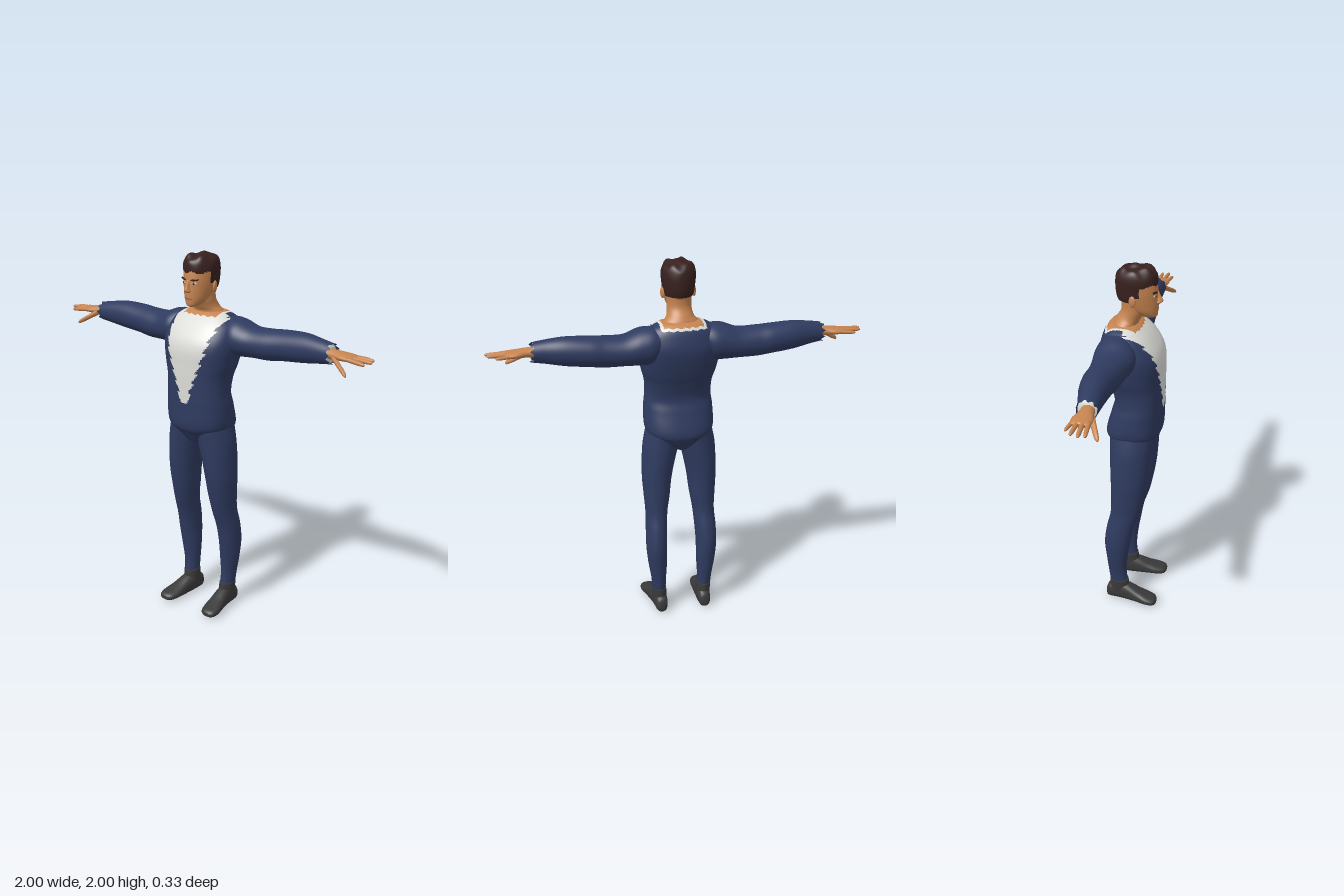
import * as THREE from 'three';

const mat = (name, color) => Object.assign(new THREE.MeshStandardMaterial({ color }), { name });

// Catmull-Rom sample of a table of rows at t in 0..1
function sampleRows(rows, t) {
  const f = t * (rows.length - 1), i = Math.min(Math.floor(f), rows.length - 2), u = f - i;
  const row = k => rows[Math.max(0, Math.min(rows.length - 1, k))];
  const [a, b, c, d] = [row(i - 1), row(i), row(i + 1), row(i + 2)];
  return b.map((v, k) => v + 0.5 * u * (c[k] - a[k] + u * (2 * a[k] - 5 * v + 4 * c[k] - d[k]
    + u * (3 * (v - c[k]) + d[k] - a[k]))));
}

// Skin elliptical sections [position, centre1, centre2, radius1, radius2] along an axis.
// paint(x, y, z) picks the material group of a face, or -1 to leave it out.
function loft(axis, rows, { n = 24, m = 24, power = 2, paint = () => 0, warp, caps = true } = {}) {
  const pos = [], groups = [], v = new THREE.Vector3();
  const bend = s => Math.sign(s) * Math.abs(s) ** (2 / power);
  const put = (t, c1, c2) => {
    if (axis === 'x') v.set(t, c1, c2);
    else if (axis === 'y') v.set(c1, t, c2);
    else v.set(c1, c2, t);
    if (warp) warp(v);
    pos.push(v.x, v.y, v.z);
  };
  for (let i = 0; i <= m; i++) {
    const [t, c1, c2, r1, r2] = sampleRows(rows, i / m);
    for (let j = 0; j < n; j++) {
      const a = j / n * Math.PI * 2;
      let c = bend(Math.cos(a)), s = bend(Math.sin(a));
      if (axis === 'y') [c, s] = [s, c];
      put(t, c1 + r1 * c, c2 + r2 * s);
    }
  }
  const face = (...ids) => {
    const mid = k => ids.reduce((sum, id) => sum + pos[id * 3 + k], 0) / 3;
    const g = paint(mid(0), mid(1), mid(2));
    if (g >= 0) (groups[g] ??= []).push(...ids);
  };
  for (let i = 0; i < m; i++) for (let j = 0; j < n; j++) {
    const k = (j + 1) % n, a = i * n + j, b = i * n + k;
    face(a, b, a + n);
    face(b, b + n, a + n);
  }
  if (caps) [[0, rows[0]], [m, rows.at(-1)]].forEach(([i, r]) => {
    put(r[0], r[1], r[2]);
    const c = pos.length / 3 - 1;
    for (let j = 0; j < n; j++) {
      const a = i * n + j, b = i * n + (j + 1) % n;
      i ? face(a, b, c) : face(b, a, c);
    }
  });
  const geo = new THREE.BufferGeometry();
  geo.setAttribute('position', new THREE.Float32BufferAttribute(pos, 3));
  const index = [];
  groups.forEach((ids, g) => { geo.addGroup(index.length, ids.length, g); index.push(...ids); });
  geo.setIndex(index);
  geo.computeVertexNormals();
  return geo;
}

function mirrored(geo) {
  const g = geo.clone().scale(-1, 1, 1), ix = g.index;
  for (let i = 0; i < ix.count; i += 3) {
    const a = ix.getX(i);
    ix.setX(i, ix.getX(i + 1));
    ix.setX(i + 1, a);
  }
  return g;
}

export function createModel() {
  const model = new THREE.Group();
  model.name = 'standingMan';
  const navy = mat('navyCloth', 0x2f3b60), white = mat('whiteShirt', 0xdcdcd8);
  const skin = mat('skin', 0xc68450), hair = mat('darkHair', 0x38211f);
  const sock = mat('charcoalSock', 0x3a3a3a), lip = mat('lip', 0x95593f), eyeWhite = mat('eyeWhite', 0xd9cfc4);
  hair.side = navy.side = THREE.DoubleSide;
  const add = (name, geo, material) => {
    const mesh = new THREE.Mesh(geo, Array.isArray(material) || !geo.groups.length ? material : [material]);
    mesh.name = name;
    model.add(mesh);
  };
  const pair = (name, geo, material) => {
    add(name + 'Left', geo, material);
    add(name + 'Right', mirrored(geo), material);
  };

  // Jacket body, with the ragged white bib and neckline painted on its faces
  const bib = [[1.22, 0.028], [1.3, 0.04], [1.36, 0.066], [1.42, 0.09], [1.5, 0.118], [1.6, 0.14], [1.7, 0.165]];
  const bibHalf = y => {
    const i = bib.findIndex(b => b[0] > y);
    if (i < 0) return 0.165;
    if (i === 0) return 0;
    const [p, q] = [bib[i - 1], bib[i]];
    return p[1] + (q[1] - p[1]) * (y - p[0]) / (q[0] - p[0]) + 0.02 * ((y * 18) % 1) - 0.01;
  };
  add('jacketBody', loft('y', [
    [0.985, 0, 0, 0.05, 0.09], [1.04, 0, 0, 0.13, 0.127], [1.09, 0, 0.008, 0.182, 0.147],
    [1.2, 0, 0.025, 0.185, 0.135], [1.27, 0, 0.034, 0.178, 0.127], [1.35, 0, 0.025, 0.18, 0.137],
    [1.42, 0, 0.012, 0.198, 0.15], [1.5, 0, 0, 0.213, 0.16], [1.56, 0, -0.013, 0.215, 0.155],
    [1.62, 0, -0.028, 0.2, 0.128], [1.66, 0, -0.04, 0.165, 0.1], [1.685, 0, -0.045, 0.115, 0.07],
    [1.69, 0, -0.045, 0.06, 0.04],
  ], {
    n: 144, m: 140, power: 2.4,
    paint: (x, y, z) => {
      const ax = Math.abs(x), tooth = 0.012 * Math.abs(((ax * 24) % 1) - 0.5);
      if (y > 1.668 + tooth && ax < 0.105) return 2;
      if (z > -0.03 && ax < bibHalf(y)) return 1;
      return y > 1.655 + tooth && ax < 0.12 ? 1 : 0;
    },
  }), [navy, white, skin]);

  // Sleeves with ragged cuffs and white linings
  pair('sleeve', loft('x', [
    [0.1, 1.6, -0.06, 0.06, 0.07], [0.16, 1.575, -0.058, 0.095, 0.098], [0.22, 1.568, -0.05, 0.096, 0.107],
    [0.3, 1.556, -0.055, 0.081, 0.095], [0.4, 1.557, -0.057, 0.081, 0.087], [0.48, 1.565, -0.062, 0.079, 0.082],
    [0.6, 1.573, -0.057, 0.075, 0.07], [0.7, 1.575, -0.045, 0.061, 0.056], [0.765, 1.574, -0.04, 0.051, 0.05],
  ], {
    n: 40, m: 48, caps: false,
    warp: v => { if (v.x > 0.76) v.x += 0.012 * Math.sin(Math.atan2(v.z + 0.04, v.y - 1.574) * 9); },
  }), navy);
  pair('cuffLining', loft('x', [[0.72, 1.574, -0.042, 0.05, 0.048], [0.757, 1.574, -0.04, 0.047, 0.046]], { m: 2 }), white);

  // Hands
  pair('palm', loft('x', [
    [0.73, 1.575, -0.037, 0.028, 0.032], [0.79, 1.575, -0.035, 0.024, 0.036],
    [0.84, 1.573, -0.038, 0.02, 0.05], [0.885, 1.572, -0.038, 0.015, 0.048], [0.897, 1.572, -0.038, 0.008, 0.04],
  ]), skin);
  [ // name, base x y z, tip x y z, radius
    ['indexFinger', 0.87, 1.572, -0.002, 0.972, 1.562, 0.008, 0.011],
    ['middleFinger', 0.87, 1.574, -0.027, 0.998, 1.572, -0.018, 0.0115],
    ['ringFinger', 0.87, 1.573, -0.052, 0.988, 1.573, -0.054, 0.011],
    ['littleFinger', 0.86, 1.571, -0.075, 0.947, 1.568, -0.089, 0.0095],
    ['thumb', 0.785, 1.568, -0.015, 0.895, 1.502, 0.042, 0.015],
  ].forEach(([name, x, y, z, X, Y, Z, r]) => {
    const rows = [[0, 1.1], [0.4, 1], [0.75, 0.9], [0.94, 0.65], [1, 0.1]]
      .map(([t, k]) => [x + (X - x) * t, y + (Y - y) * t, z + (Z - z) * t, r * k, r * k]);
    pair(name, loft('x', rows, { n: 12, m: 12 }), skin);
  });

  // Trousers
  pair('trouserLeg', loft('y', [
    [0.11, 0.13, -0.055, 0.037, 0.05], [0.2, 0.133, -0.065, 0.041, 0.051], [0.3, 0.138, -0.066, 0.052, 0.06],
    [0.4, 0.142, -0.062, 0.057, 0.072], [0.5, 0.139, -0.047, 0.059, 0.076], [0.6, 0.133, -0.02, 0.06, 0.081],
    [0.7, 0.128, -0.008, 0.071, 0.091], [0.8, 0.125, 0, 0.08, 0.1], [0.9, 0.115, 0.003, 0.089, 0.107],
    [1, 0.1, 0.006, 0.097, 0.112], [1.1, 0.085, 0.008, 0.09, 0.118],
  ], { n: 32, m: 50 }), navy);

  // Socks
  pair('sockShaft', loft('y', [
    [0.04, 0.127, -0.06, 0.036, 0.05], [0.09, 0.128, -0.055, 0.04, 0.055], [0.14, 0.13, -0.057, 0.0395, 0.053],
  ], { m: 10 }), sock);
  pair('sockFoot', loft('z', [
    [-0.132, 0.125, 0.035, 0.012, 0.018], [-0.115, 0.125, 0.046, 0.032, 0.044], [-0.05, 0.127, 0.058, 0.04, 0.058],
    [0, 0.132, 0.052, 0.043, 0.052], [0.06, 0.14, 0.039, 0.048, 0.037], [0.11, 0.148, 0.031, 0.052, 0.027],
    [0.15, 0.152, 0.026, 0.042, 0.02], [0.165, 0.154, 0.024, 0.02, 0.01],
  ], { n: 28, m: 32, power: 2.4, warp: v => { v.y = Math.max(0, v.y); } }), sock);

  // Neck and head
  add('neck', loft('y', [
    [1.64, 0, -0.035, 0.115, 0.08], [1.685, 0, -0.04, 0.092, 0.064], [1.715, 0, -0.025, 0.07, 0.064],
    [1.76, 0, -0.002, 0.064, 0.062], [1.83, 0, 0, 0.066, 0.066],
  ], { n: 32 }), skin);
  add('head', loft('y', [
    [1.722, 0, 0.088, 0.014, 0.02], [1.732, 0, 0.075, 0.034, 0.045], [1.76, 0, 0.05, 0.056, 0.073],
    [1.79, 0, 0.034, 0.067, 0.09], [1.83, 0, 0.022, 0.076, 0.101], [1.87, 0, 0.018, 0.08, 0.104],
    [1.92, 0, 0.013, 0.08, 0.1], [1.955, 0, 0.01, 0.062, 0.078], [1.975, 0, 0.01, 0.015, 0.02],
  ], { n: 40, m: 40 }), skin);

  // Wavy hair, cut away around the face
  add('hair', loft('y', [
    [1.8, 0, 0.01, 0.07, 0.085], [1.83, 0, 0.012, 0.08, 0.1], [1.87, 0, 0.011, 0.085, 0.105],
    [1.92, 0, 0.013, 0.089, 0.107], [1.955, 0, 0.014, 0.08, 0.098], [1.98, 0, 0.014, 0.052, 0.066],
    [1.987, 0, 0.014, 0.012, 0.015],
  ], {
    n: 64, m: 48,
    paint: (x, y, z) => (y > 1.9 + 0.006 * Math.sin(x * 90) || z < -0.005 && y > 1.812 || z < 0.04 && y > 1.845 ? 0 : -1),
    warp: v => {
      if (v.y < 1.9) return;
      const w = Math.sin(v.x * 75 + 1) * Math.sin(v.z * 45 + 1.5) * Math.min(1, (v.y - 1.9) / 0.05);
      v.y += 0.009 * w;
      v.z += 0.004 * w;
    },
  }), hair);

  // Face details
  add('nose', loft('y', [
    [1.797, 0, 0.122, 0.008, 0.006], [1.804, 0, 0.124, 0.018, 0.019], [1.815, 0, 0.124, 0.014, 0.025],
    [1.835, 0, 0.118, 0.009, 0.021], [1.862, 0, 0.113, 0.008, 0.012],
  ], { n: 16, m: 16 }), skin);
  const blob = (x, y, z, sx, sy, sz, turn = 0, tilt = 0) =>
    new THREE.SphereGeometry(1, 16, 10).scale(sx, sy, sz).rotateZ(tilt).rotateY(turn).translate(x, y, z);
  pair('ear', blob(0.083, 1.825, 0.008, 0.009, 0.03, 0.019, 0.3), skin);
  pair('eye', blob(0.033, 1.846, 0.114, 0.014, 0.006, 0.004, 0.4), eyeWhite);
  pair('iris', blob(0.032, 1.846, 0.117, 0.006, 0.006, 0.003, 0.4), hair);
  pair('eyebrow', blob(0.036, 1.865, 0.114, 0.023, 0.006, 0.005, 0.4, 0.12), hair);
  add('mouth', blob(0, 1.768, 0.12, 0.023, 0.005, 0.005), lip);
  return model;
}
